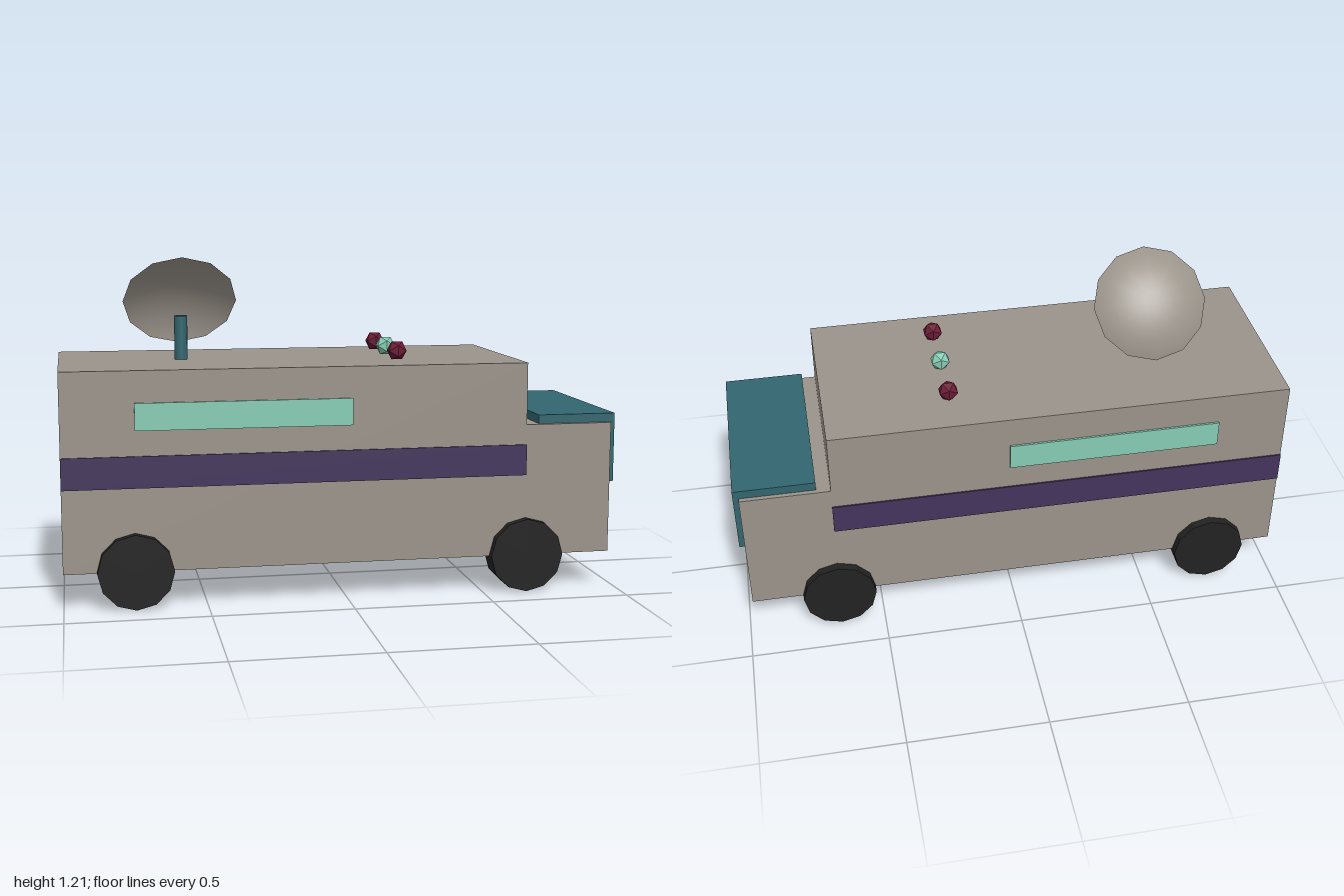
import * as THREE from 'three';

const mat = (name, color, extra = {}) => {
  const m = new THREE.MeshStandardMaterial({ color, ...extra });
  m.name = name;
  return m;
};

export function createModel() {
  const group = new THREE.Group();
  const grey = mat('warmGrey', 0x9a938a);
  const dishGrey = mat('dishGrey', 0x9a938a, { side: THREE.DoubleSide });
  const teal = mat('teal', 0x32656f);
  const tealFlat = teal;
  const mint = mat('mint', 0x86ccb4, { flatShading: true });
  const purple = mat('purple', 0x43345c);
  const black = mat('black', 0x222222, { flatShading: true });
  const red = mat('darkRed', 0x6a1a34, { flatShading: true });

  const add = (name, geometry, material, x = 0, y = 0, z = 0) => {
    const mesh = new THREE.Mesh(geometry, material);
    mesh.name = name;
    mesh.position.set(x, y, z);
    group.add(mesh);
    return mesh;
  };
  // Box given by its limits on each axis
  const box = (name, material, x0, x1, y0, y1, z0, z1) =>
    add(name, new THREE.BoxGeometry(x1 - x0, y1 - y0, z1 - z0), material,
      (x0 + x1) / 2, (y0 + y1) / 2, (z0 + z1) / 2);

  // Van body, lower cab and wraparound windscreen
  box('body', grey, -1, 0.66, 0.13, 0.835, -0.353, 0.353);
  box('cab', grey, 0.66, 0.98, 0.13, 0.61, -0.353, 0.353);
  box('windscreen', tealFlat, 0.71, 1, 0.388, 0.642, -0.336, 0.336);

  for (const s of [1, -1]) {
    const side = s > 0 ? 'left' : 'right';
    // Side stripe and window plates
    const plate = (name, m, x0, x1, y0, y1, t) =>
      box(name, m, x0, x1, y0, y1, s * 0.3555 - t / 2, s * 0.3555 + t / 2);
    plate(side + 'Stripe', purple, -1, 0.66, 0.426, 0.538, 0.006);
    plate(side + 'Window', mint, -0.745, 0.02, 0.627, 0.723, 0.0095);

    // Wheels
    for (const [end, x] of [['Rear', -0.75], ['Front', 0.66]]) {
      const wheel = add(side + end + 'Wheel',
        new THREE.CylinderGeometry(0.134, 0.134, 0.095, 12), black, x, 0.134, s * 0.337);
      wheel.rotation.x = Math.PI / 2;
    }
  }

  // Roof lamps
  for (const z of [-0.192, 0, 0.192]) {
    add('roofLamp', new THREE.IcosahedronGeometry(0.038, 0), z ? red : mint, 0.213, 0.872, z);
  }

  // Mast
  add('mast', new THREE.CylinderGeometry(0.024, 0.024, 0.165, 12), teal, -0.555, 0.9125, 0);

  // Dish: shallow spherical cap with its hollow side facing forward and down
  const angle = 0.68;
  const radius = 0.208 / Math.sin(angle);
  const cap = new THREE.SphereGeometry(radius, 12, 6, 0, Math.PI * 2, 0, angle);
  cap.translate(0, -radius * Math.cos(angle), 0);
  const dish = add('dish', cap, dishGrey, -0.555, 1.047, -0.03);
  dish.rotation.x = -0.9;

  return group;
}
